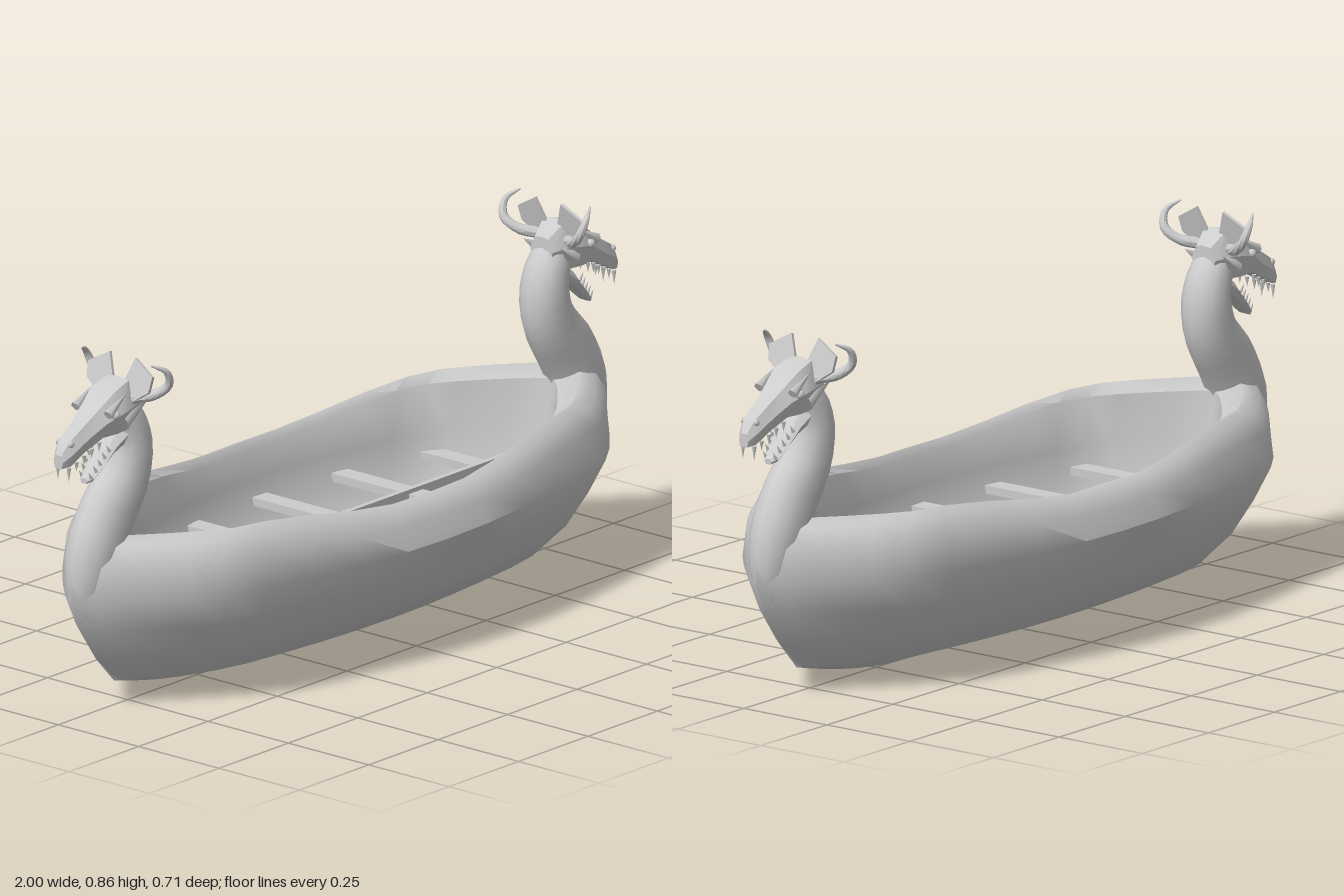
import * as THREE from 'three';
import { toCreasedNormals } from 'three/addons/utils/BufferGeometryUtils.js';

const grey = new THREE.MeshStandardMaterial({ color: 0xcccccc, side: THREE.DoubleSide });

function add(parent, name, geometry) {
  const mesh = new THREE.Mesh(geometry, grey);
  mesh.name = name;
  parent.add(mesh);
  return mesh;
}

// Skins a row of closed rings, caps both ends and turns all faces outward
function loft(rings, crease = 0.7) {
  const n = rings[0].length, pts = rings.flat(), index = [];
  for (let r = 0; r < rings.length - 1; r++) {
    for (let i = 0; i < n; i++) {
      const a = r * n + i, b = r * n + (i + 1) % n;
      index.push(a, b, a + n, b, b + n, a + n);
    }
  }
  const last = (rings.length - 1) * n;
  for (let i = 1; i < n - 1; i++) {
    index.push(0, i + 1, i, last, last + i, last + i + 1);
  }
  let volume = 0;
  const cross = new THREE.Vector3();
  for (let i = 0; i < index.length; i += 3) {
    volume += pts[index[i]].dot(cross.crossVectors(pts[index[i + 1]], pts[index[i + 2]]));
  }
  if (volume < 0) index.reverse();
  const g = new THREE.BufferGeometry().setFromPoints(pts);
  g.setIndex(index);
  return toCreasedNormals(g, crease);
}

// Elliptical rings swept along a path in 3D; radii run across and sideways
function sweep(path, radii, sides, steps) {
  const curve = new THREE.CatmullRomCurve3(path.map(p => new THREE.Vector3(...p)));
  const rings = [], side = new THREE.Vector3(), up = new THREE.Vector3();
  for (let s = 0; s <= steps; s++) {
    const t = s / steps, k = t * (radii.length - 1);
    const i = Math.min(Math.floor(k), radii.length - 2), m = k - i;
    const ra = THREE.MathUtils.lerp(radii[i][0], radii[i + 1][0], m);
    const rb = THREE.MathUtils.lerp(radii[i][1], radii[i + 1][1], m);
    const c = curve.getPoint(t), dir = curve.getTangent(t);
    up.set(-dir.y, dir.x, 0).normalize();
    side.crossVectors(dir, up);
    rings.push(Array.from({ length: sides }, (_, j) => {
      const a = j / sides * Math.PI * 2;
      return c.clone().addScaledVector(up, Math.cos(a) * ra).addScaledVector(side, Math.sin(a) * rb);
    }));
  }
  return loft(rings);
}

// Faceted snout-like block; each section is x, top, bottom, half width
function block(sections) {
  return loft(sections.map(([x, top, bot, w]) => {
    const y = f => bot + (top - bot) * f;
    return [[0, 1], [0.6, 0.96], [1, 0.5], [0.75, 0.05], [0, 0], [-0.75, 0.05], [-1, 0.5], [-0.6, 0.96]]
      .map(([z, f]) => new THREE.Vector3(x, y(f), z * w));
  }), 0.5);
}

function createHull() {
  // Half length, half width, height and end lift, from keel over the rim to the inner floor
  const levels = [
    [0.80, 0, 0, 0.06], [0.80, 0.17, 0.05, 0.02], [0.865, 0.26, 0.13, 0],
    [0.92, 0.31, 0.21, 0], [0.955, 0.355, 0.29, 0], [0.95, 0.337, 0.345, 0.03],
    [0.92, 0.315, 0.38, 0.04], [0.86, 0.29, 0.39, 0.045], [0.78, 0.275, 0.37, 0.045],
    [0.745, 0.268, 0.30, 0], [0.70, 0.24, 0.20, 0], [0.64, 0.16, 0.11, 0], [0.60, 0, 0.09, 0]
  ];
  const plan = [[0, 1], [0.15, 0.985], [0.3, 0.94], [0.45, 0.87], [0.6, 0.79], [0.71, 0.71],
    [0.79, 0.56], [0.86, 0.4], [0.92, 0.25], [0.965, 0.13], [1, 0]];
  const stations = [...plan.slice(1).reverse().map(([t, f]) => [-t, f]), ...plan];
  const rings = stations.map(([t, f]) => {
    const a = Math.abs(t);
    const rise = THREE.MathUtils.smoothstep(a, 0.1, 0.65);
    const keelRise = Math.pow(Math.max(0, (a - 0.55) / 0.45), 1.6);
    const half = levels.map(([l, w, y, lift], j) =>
      new THREE.Vector3(t * l, y + lift * (j < 2 ? keelRise : rise), w * f));
    const mirror = half.slice(1, -1).reverse().map(p => new THREE.Vector3(p.x, p.y, -p.z));
    return [...half, ...mirror];
  });
  return loft(rings, 0.8);
}

function createFigurehead() {
  const g = new THREE.Group();
  add(g, 'neck', sweep(
    [[0.87, 0.22, 0], [0.877, 0.31, 0], [0.865, 0.40, 0], [0.825, 0.48, 0], [0.768, 0.56, 0],
      [0.75, 0.64, 0], [0.765, 0.70, 0], [0.80, 0.75, 0]],
    [[0.045, 0.035], [0.075, 0.055], [0.08, 0.065], [0.08, 0.062], [0.07, 0.06],
      [0.058, 0.06], [0.052, 0.054], [0.04, 0.04]], 14, 18));
  add(g, 'head', block([
    [0.74, 0.775, 0.71, 0.035], [0.785, 0.812, 0.685, 0.054], [0.84, 0.795, 0.685, 0.06],
    [0.88, 0.765, 0.685, 0.048], [0.93, 0.73, 0.662, 0.034], [0.98, 0.70, 0.636, 0.027],
    [1, 0.668, 0.634, 0.014]]));
  add(g, 'lowerJaw', block([
    [0.785, 0.71, 0.655, 0.042], [0.83, 0.672, 0.635, 0.036], [0.87, 0.625, 0.603, 0.03],
    [0.895, 0.597, 0.58, 0.022], [0.908, 0.588, 0.575, 0.01]]));

  for (const s of [1, -1]) {
    add(g, 'horn', sweep(
      [[0.785, 0.765, s * 0.045], [0.755, 0.775, s * 0.085], [0.74, 0.802, s * 0.118],
        [0.755, 0.84, s * 0.126], [0.79, 0.86, s * 0.108]],
      [[0.014, 0.014], [0.013, 0.013], [0.011, 0.011], [0.008, 0.008], [0.002, 0.002]], 8, 14));

    // Broad fan-shaped ear
    const shape = new THREE.Shape([[0.008, 0], [0.04, 0.085], [0.1, 0.05], [0.096, 0.012], [0.05, -0.02]]
      .map(([z, y]) => new THREE.Vector2(s * z, y)));
    const ear = add(g, 'ear', new THREE.ExtrudeGeometry(shape, { depth: 0.008, bevelEnabled: false }));
    ear.rotation.set(0, -Math.PI / 2, 0);
    ear.rotateX(0.25);
    ear.position.set(0.79, 0.778, 0);

    // Side frill behind the jaw
    const frill = add(g, 'cheekFrill', new THREE.ConeGeometry(0.024, 0.085, 4));
    frill.scale.z = 0.5;
    frill.rotation.set(s * 0.25, 0, 0.95);
    frill.position.set(0.775, 0.735, s * 0.052);

    const brow = add(g, 'brow', new THREE.ConeGeometry(0.013, 0.08, 5));
    brow.rotation.z = 1.05;
    brow.position.set(0.845, 0.768, s * 0.051);
    add(g, 'eye', new THREE.SphereGeometry(0.011, 10, 8)).position.set(0.855, 0.742, s * 0.054);
    add(g, 'nostril', new THREE.SphereGeometry(0.009, 8, 6)).position.set(0.975, 0.692, s * 0.017);

    // Teeth hang from the upper jaw and stand on the lower one
    for (let i = 0; i < 5; i++) {
      const u = i / 4, long = i === 4 ? 0.036 : 0.024;
      const upper = add(g, 'upperTooth', new THREE.ConeGeometry(0.006, long, 5));
      upper.rotation.z = Math.PI;
      upper.position.set(0.89 + 0.092 * u, 0.676 - 0.046 * u - long / 3, s * (0.032 - 0.015 * u));
      const lower = add(g, 'lowerTooth', new THREE.ConeGeometry(0.005, 0.022, 5));
      lower.rotation.z = -0.6;
      lower.position.set(0.853 + 0.05 * u, 0.655 - 0.058 * u, s * (0.027 - 0.012 * u));
    }
  }
  return g;
}

export function createModel() {
  const model = new THREE.Group();
  model.name = 'longship';
  add(model, 'hull', createHull());

  // Rowing benches and the beam running over them
  [0.19, 0.24, 0.26, 0.24, 0.185].forEach((half, i) => {
    add(model, 'bench', new THREE.BoxGeometry(0.05, 0.02, half * 2)).position.set(-0.5 + i * 0.26, 0.25, 0);
  });
  add(model, 'centreBeam', new THREE.BoxGeometry(1.46, 0.025, 0.014)).position.set(0, 0.258, 0);

  // Matching carved heads at both ends
  ['bowFigurehead', 'sternFigurehead'].forEach((name, i) => {
    const head = createFigurehead();
    head.name = name;
    head.rotation.y = i * Math.PI;
    model.add(head);
  });
  return model;
}
